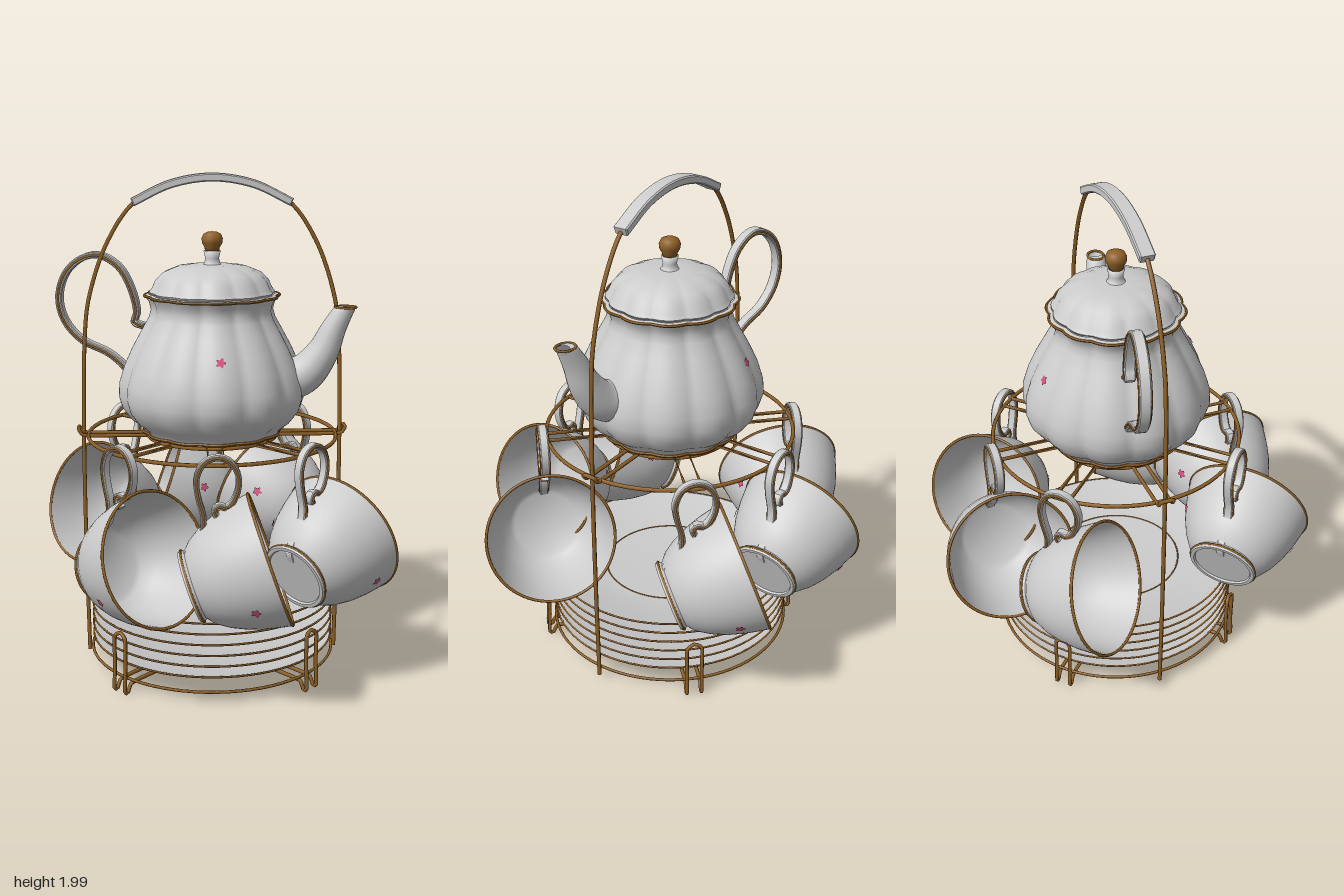
import * as THREE from 'three';
import { toCreasedNormals } from 'three/addons/utils/BufferGeometryUtils.js';

const porcelain = new THREE.MeshStandardMaterial({ color: 0xcccccc, side: THREE.DoubleSide });
porcelain.name = 'porcelain';
const gold = new THREE.MeshStandardMaterial({ color: 0x8f6127 });
gold.name = 'gold';
const pink = new THREE.MeshStandardMaterial({ color: 0xd8507f, side: THREE.DoubleSide });
pink.name = 'pink';

const V = (x, y, z = 0) => new THREE.Vector3(x, y, z);
const WIRE = 0.008;

function add(parent, name, geo, mat) {
  const mesh = new THREE.Mesh(geo, mat);
  mesh.name = name;
  parent.add(mesh);
  return mesh;
}
function sub(parent, name) {
  const g = new THREE.Group();
  g.name = name;
  parent.add(g);
  return g;
}
// revolved profile given as [radius, height] pairs
function lathe(profile, segments = 64) {
  return new THREE.LatheGeometry(profile.map(([r, y]) => new THREE.Vector2(r, y)), segments);
}
function ring(parent, name, radius, y, tube = WIRE, mat = gold) {
  const geo = new THREE.TorusGeometry(radius, tube, 6, 72).rotateX(Math.PI / 2).translate(0, y, 0);
  return add(parent, name, geo, mat);
}
function wire(parent, name, pts, segments = 60, radius = WIRE, tension = 0.5) {
  const curve = new THREE.CatmullRomCurve3(pts, false, 'catmullrom', tension);
  return add(parent, name, new THREE.TubeGeometry(curve, segments, radius, 6), gold);
}
// flat strip following a path in the XY plane
function ribbon(parent, name, pts, thick, width, edged = true) {
  const curve = new THREE.CatmullRomCurve3(pts.map(([x, y]) => V(x, y)));
  const n = 48, left = [], right = [];
  for (let i = 0; i <= n; i++) {
    const p = curve.getPoint(i / n), t = curve.getTangent(i / n);
    left.push(new THREE.Vector2(p.x - t.y * thick / 2, p.y + t.x * thick / 2));
    right.push(new THREE.Vector2(p.x + t.y * thick / 2, p.y - t.x * thick / 2));
  }
  const shape = new THREE.Shape([...left, ...right.reverse()]);
  const bevel = thick * 0.15;
  const geo = new THREE.ExtrudeGeometry(shape, {
    depth: width - 2 * bevel, bevelThickness: bevel, bevelSize: bevel, bevelOffset: -bevel, bevelSegments: 1,
  }).translate(0, 0, bevel - width / 2);
  const g = sub(parent, name);
  add(g, name + 'Strip', toCreasedNormals(geo, 0.6), porcelain);
  // gilded edges
  if (edged) for (const s of [-1, 1]) {
    add(g, name + 'GoldEdge', new THREE.TubeGeometry(curve, 48, 0.005, 5).translate(0, 0, s * width / 2), gold);
  }
  return g;
}
// small five-petalled blossom lying on a surface
function blossom(parent, pos, normal) {
  const geo = new THREE.CircleGeometry(0.02, 30);
  const p = geo.attributes.position;
  for (let i = 1; i < p.count; i++) {
    const k = 0.8 + 0.2 * Math.cos(5 * Math.atan2(p.getY(i), p.getX(i)));
    p.setXY(i, p.getX(i) * k, p.getY(i) * k);
  }
  const m = add(parent, 'blossom', geo, pink);
  const n = normal.normalize();
  m.position.copy(pos).addScaledVector(n, 0.005);
  m.quaternion.setFromUnitVectors(V(0, 0, 1), n);
}
// press twelve rounded lobes into a revolved geometry
function scallop(geo, depth = 0.045) {
  const p = geo.attributes.position;
  for (let i = 0; i < p.count; i++) {
    const a = Math.atan2(p.getX(i), p.getZ(i));
    const k = 1 - depth * (1 - Math.abs(Math.sin(6 * a)));
    p.setX(i, p.getX(i) * k);
    p.setZ(i, p.getZ(i) * k);
  }
  return toCreasedNormals(geo, 0.7);
}

function buildStand(root) {
  const stand = sub(root, 'wireStand');
  // tall arch with porcelain grip
  const half = [[0.515, 0.03], [0.52, 0.5], [0.518, 1.0], [0.505, 1.38], [0.475, 1.56], [0.405, 1.745], [0.3, 1.89], [0.15, 1.955]];
  wire(stand, 'carryArch', [...half.map(([x, y]) => V(-x, y)), V(0, 1.98), ...half.reverse().map(([x, y]) => V(x, y))], 160, 0.009);
  ribbon(stand, 'grip', [[-0.31, 1.888], [-0.16, 1.958], [0, 1.983], [0.16, 1.958], [0.31, 1.888]], 0.032, 0.06, false);
  // upper shelf: rings and eight paired spokes
  ring(stand, 'shelfRing', 0.5, 0.963);
  ring(stand, 'shelfInnerRing', 0.26, 0.963);
  ring(stand, 'shelfCentreRing', 0.17, 0.963);
  for (let k = 0; k < 8; k++) {
    const spoke = sub(stand, 'shelfSpoke');
    spoke.rotation.y = k * Math.PI / 4;
    if (k % 4 === 2) {
      const w = 0.027;
      wire(spoke, 'spokeLoop', [V(-w, 0.963, 0.17), V(-w, 0.963, 0.5), V(-w, 0.968, 0.525), V(-w, 0.99, 0.538),
        V(w, 0.99, 0.538), V(w, 0.968, 0.525), V(w, 0.963, 0.5), V(w, 0.963, 0.17)], 80, WIRE, 0.1);
    } else for (const s of [-0.03, 0.03]) {
      wire(spoke, 'spokeWire', [V(s, 0.963, 0.17), V(s, 0.963, 0.5)], 1);
    }
  }
  // lower tray: rings and four plate clips that double as feet
  ring(stand, 'trayRing', 0.5, 0.06, 0.006);
  ring(stand, 'trayInnerRing', 0.24, 0.052);
  ring(stand, 'trayCentreRing', 0.18, 0.052);
  for (let k = 0; k < 4; k++) {
    const clip = sub(stand, 'plateClip');
    clip.rotation.y = Math.PI / 4 + k * Math.PI / 2;
    const w = 0.03;
    const side = [[0.18, 0.052], [0.42, 0.05], [0.5, 0.045], [0.52, 0.01], [0.535, 0.02], [0.53, 0.12], [0.53, 0.235]];
    wire(clip, 'clipLoop', [...side.map(([r, y]) => V(-w, y, r)), V(0, 0.255, 0.525),
      ...side.reverse().map(([r, y]) => V(w, y, r))], 110, WIRE, 0.25);
  }
}

function buildPlates(root) {
  const stack = sub(root, 'plateStack');
  const geo = toCreasedNormals(lathe([[0, 0.008], [0.19, 0.008], [0.195, 0], [0.215, 0], [0.22, 0.009], [0.32, 0.011],
    [0.42, 0.032], [0.495, 0.053], [0.497, 0.059], [0.42, 0.04], [0.32, 0.02], [0.28, 0.016], [0, 0.016]], 72), 0.5);
  for (let i = 0; i < 6; i++) {
    const plate = sub(stack, 'plate');
    plate.position.y = 0.063 + i * 0.044;
    add(plate, 'plateDish', geo, porcelain);
    ring(plate, 'plateGoldRim', 0.496, 0.057, 0.004);
    if (i === 0) ring(plate, 'plateFootGold', 0.207, 0, 0.004);
    if (i === 5) ring(plate, 'plateGoldLine', 0.27, 0.016, 0.003);
  }
}

function buildCups(root) {
  const body = toCreasedNormals(lathe([[0, 0.008], [0.118, 0.008], [0.122, 0], [0.136, 0], [0.141, 0.01], [0.133, 0.026],
    [0.163, 0.052], [0.194, 0.1], [0.221, 0.16], [0.241, 0.225], [0.254, 0.285], [0.26, 0.32], [0.255, 0.32], [0.235, 0.225],
    [0.214, 0.16], [0.187, 0.1], [0.15, 0.058], [0.13, 0.045], [0, 0.045]]), 0.7);
  for (const k of [-1, 0, 1, 3, 4, 5]) {
    const station = sub(root, 'hangingCup');
    station.rotation.y = k * Math.PI / 4;
    const cup = sub(station, 'cup');
    cup.position.set(-0.105, 0.5, 0.52);
    cup.rotation.z = -1.234;
    add(cup, 'cupBowl', body, porcelain);
    ring(cup, 'cupGoldRim', 0.258, 0.32, 0.006);
    ring(cup, 'cupGoldFoot', 0.139, 0.012, 0.005);
    blossom(cup, V(0.095, 0.215, 0.218), V(0.4, -0.28, 0.92));
    blossom(cup, V(-0.09, 0.168, -0.206), V(-0.4, -0.35, -0.92));
    // handle looped over the shelf ring
    const handle = ribbon(station, 'cupHandle', [[-0.11, 0.57], [-0.125, 0.61], [-0.1, 0.655], [-0.062, 0.7], [-0.052, 0.77],
      [-0.072, 0.85], [-0.078, 0.92], [-0.05, 0.98], [0, 1.0], [0.05, 0.98], [0.078, 0.92], [0.066, 0.85],
      [0.035, 0.81], [0.0, 0.815], [-0.012, 0.79], [0.01, 0.765]], 0.022, 0.034);
    handle.position.z = 0.518;
  }
}

function buildTeapot(root) {
  const pot = sub(root, 'teapot');
  pot.rotation.y = -0.2;
  add(pot, 'potBody', scallop(lathe([[0, 0.978], [0.26, 0.978], [0.275, 0.982], [0.285, 1.0], [0.325, 1.03], [0.36, 1.075],
    [0.375, 1.125], [0.372, 1.18], [0.35, 1.25], [0.318, 1.32], [0.28, 1.39], [0.252, 1.44], [0.243, 1.47],
    [0.25, 1.5], [0.268, 1.528], [0.25, 1.532], [0.235, 1.5]], 120)), porcelain);
  const hoop = (r, y, t) => scallop(new THREE.TorusGeometry(r, t, 6, 120).rotateX(Math.PI / 2).translate(0, y, 0));
  add(pot, 'potGoldFoot', hoop(0.277, 0.98, 0.007), gold);
  add(pot, 'potGoldRim', hoop(0.268, 1.526, 0.006), gold);
  // lid and knob
  add(pot, 'lid', scallop(lathe([[0.245, 1.532], [0.25, 1.54], [0.238, 1.555], [0.225, 1.585], [0.195, 1.615],
    [0.14, 1.638], [0.08, 1.646], [0, 1.648]], 120), 0.04), porcelain);
  add(pot, 'knobStem', lathe([[0.045, 1.64], [0.032, 1.65], [0.027, 1.67], [0.034, 1.7], [0, 1.702]], 24), porcelain);
  add(pot, 'knob', lathe([[0, 1.698], [0.028, 1.699], [0.03, 1.712], [0.04, 1.73], [0.042, 1.748], [0.034, 1.765],
    [0.018, 1.773], [0, 1.775]], 24), gold);
  // tapering spout cut level at the lip
  const curve = new THREE.CatmullRomCurve3([V(0.25, 1.19), V(0.36, 1.215), V(0.435, 1.3), V(0.485, 1.41), V(0.545, 1.52)]);
  const seg = 32, rad = 20;
  const geo = new THREE.TubeGeometry(curve, seg, 1, rad);
  const p = geo.attributes.position;
  for (let i = 0; i < p.count; i++) {
    const u = Math.floor(i / (rad + 1)) / seg;
    const c = curve.getPointAt(u);
    const r = 0.033 + 0.065 * Math.pow(1 - u, 1.1);
    const q = V(p.getX(i), p.getY(i), p.getZ(i)).sub(c).multiplyScalar(r).add(c);
    p.setXYZ(i, q.x, Math.min(q.y, 1.49), q.z);
  }
  add(pot, 'spout', toCreasedNormals(geo, 0.8), porcelain);
  const lip = new THREE.TorusGeometry(0.034, 0.005, 6, 28).rotateX(Math.PI / 2).scale(1.2, 1, 1).translate(0.527, 1.489, 0);
  add(pot, 'spoutGoldLip', lip, gold);
  // looped handle
  ribbon(pot, 'potHandle', [[-0.33, 1.19], [-0.37, 1.24], [-0.43, 1.285], [-0.53, 1.33], [-0.6, 1.405], [-0.625, 1.5],
    [-0.595, 1.6], [-0.53, 1.66], [-0.455, 1.675], [-0.375, 1.63], [-0.325, 1.54], [-0.305, 1.45], [-0.315, 1.41],
    [-0.275, 1.395]], 0.026, 0.042);
  // painted blossoms, front and back
  blossom(root, V(0.02, 1.31, 0.321), V(0.06, 0.46, 1));
  blossom(root, V(-0.06, 1.31, -0.312), V(-0.2, 0.46, -1));
}

export function createModel() {
  const root = new THREE.Group();
  root.name = 'teaSetOnStand';
  buildStand(root);
  buildPlates(root);
  buildCups(root);
  buildTeapot(root);
  return root;
}
